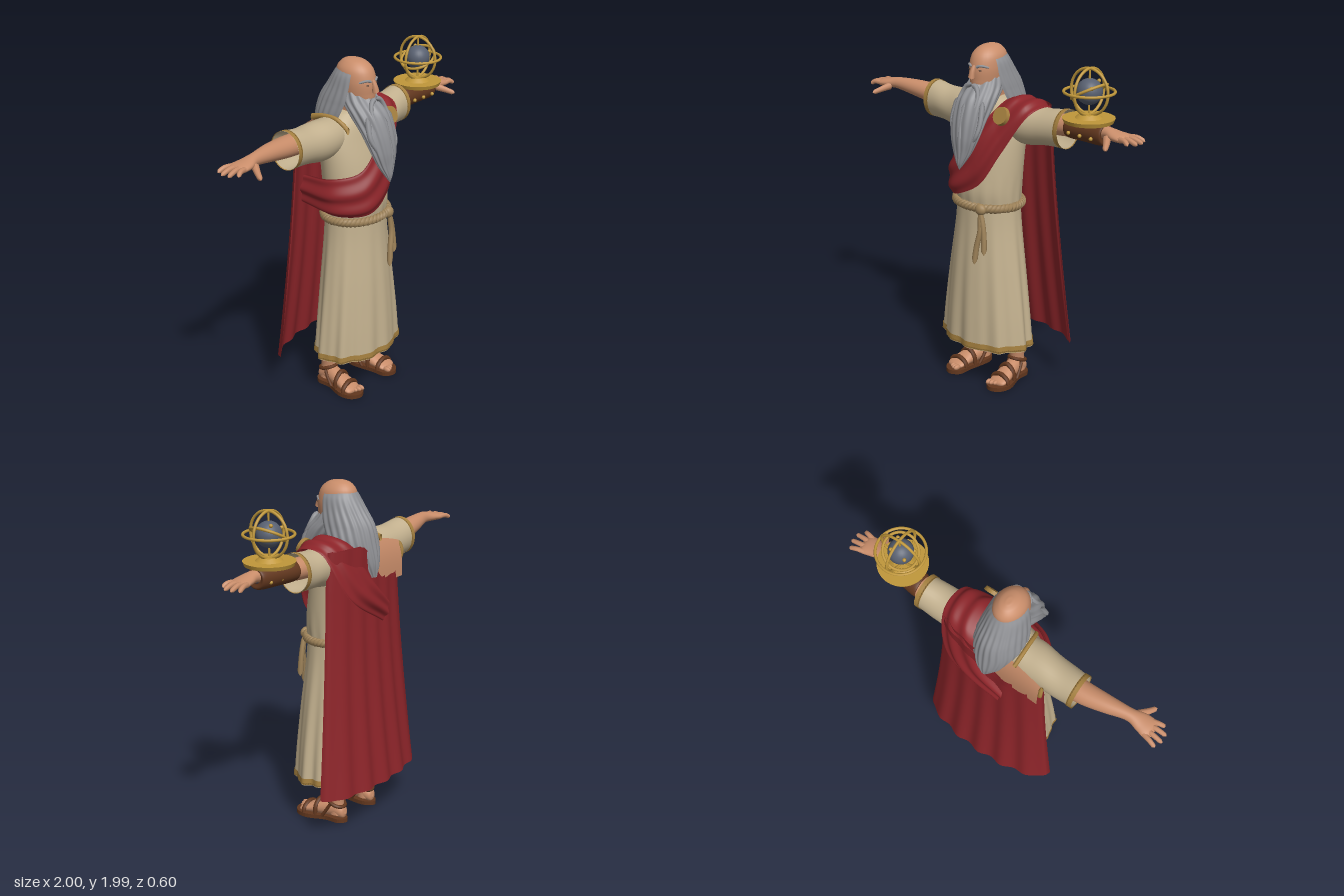
import * as THREE from 'three';
import { ParametricGeometry } from 'three/addons/geometries/ParametricGeometry.js';

const V = (x, y, z) => new THREE.Vector3(x, y, z);
const TAU = Math.PI * 2;
const mat = (name, color, side = THREE.FrontSide) => {
  const m = new THREE.MeshStandardMaterial({ color, side });
  m.name = name;
  return m;
};

// Smooth surface through elliptical sections [position, centre1, centre2, radius1, radius2] along an axis
function loft(sections, { axis = 'y', side = 1, seg = 32, rows = 32, from = 0, to = TAU, fold = () => 1 } = {}) {
  const centre = new THREE.CatmullRomCurve3(sections.map(s => V(s[0], s[1], s[2])), false, 'catmullrom', 0.5);
  const radius = new THREE.CatmullRomCurve3(sections.map(s => V(s[0], s[3], s[4])), false, 'catmullrom', 0.5);
  const c = V(), r = V();
  return new ParametricGeometry((u, v, p) => {
    centre.getPoint(v, c);
    radius.getPoint(v, r);
    const a = from + (to - from) * (side < 0 && axis === 'x' ? 1 - u : u);
    const f = fold(a, c.x);
    const r1 = Math.max(r.y, 0.001) * f, r2 = Math.max(r.z, 0.001) * f;
    if (axis === 'x') p.set(side * c.x, c.y + r1 * Math.cos(a), c.z + r2 * Math.sin(a));
    else if (axis === 'z') p.set(c.y + r1 * Math.cos(a), c.z + r2 * Math.sin(a), c.x);
    else p.set(c.y + r1 * Math.sin(a), c.x, c.z + r2 * Math.cos(a));
  }, seg, rows);
}

// Tapered tube with rounded ends
function limb(points, r0, r1, rows = 16, seg = 8) {
  const curve = new THREE.CatmullRomCurve3(points.map(p => V(...p)));
  const g = new THREE.TubeGeometry(curve, rows, 1, seg);
  const pos = g.attributes.position, p = V();
  for (let i = 0; i < pos.count; i++) {
    const t = Math.floor(i / (seg + 1)) / rows, c = curve.getPointAt(t);
    const end = Math.min(1, Math.sqrt(Math.min(t, 1 - t) * 8 + 0.001));
    p.fromBufferAttribute(pos, i).sub(c).multiplyScalar((r0 + (r1 - r0) * t) * end).add(c);
    pos.setXYZ(i, p.x, p.y, p.z);
  }
  return g;
}

export function createModel() {
  const root = new THREE.Group();
  root.name = 'robedElder';
  const D = THREE.DoubleSide;
  const skin = mat('skin', 0xc98d6a, D), hair = mat('greyHair', 0x8f9094, D), linen = mat('linen', 0xc2b08e, D);
  const red = mat('redCloth', 0x8c2429, D), trim = mat('ochreTrim', 0xa5803f, D), rope = mat('rope', 0xa0845a);
  const gold = mat('gold', 0xc0973a), leather = mat('leather', 0x62371e), slate = mat('slate', 0x586070), dark = mat('eyeDark', 0x4a3c34);
  const add = (name, geo, m, parent = root) => {
    const mesh = new THREE.Mesh(geo, m);
    mesh.name = name;
    parent.add(mesh);
    return mesh;
  };

  // Head and face
  add('head', loft([[1.6, 0, -0.01, 0.07, 0.07], [1.7, 0, 0.02, 0.066, 0.075], [1.75, 0, 0.055, 0.074, 0.105],
    [1.81, 0, 0.058, 0.086, 0.113], [1.87, 0, 0.053, 0.091, 0.118], [1.93, 0, 0.045, 0.083, 0.107],
    [1.968, 0, 0.04, 0.054, 0.073], [1.983, 0, 0.035, 0.02, 0.03], [1.985, 0, 0.035, 0.001, 0.001]]), skin);
  add('nose', limb([[0, 1.885, 0.162], [0, 1.85, 0.178], [0, 1.808, 0.188]], 0.011, 0.021), skin);
  for (const s of [-1, 1]) {
    add('eye', new THREE.SphereGeometry(0.01, 12, 8).scale(1.2, 0.4, 0.5).translate(s * 0.036, 1.856, 0.16), dark);
    add('eyebrow', limb([[s * 0.014, 1.872, 0.169], [s * 0.04, 1.882, 0.16], [s * 0.075, 1.872, 0.125]], 0.008, 0.006), hair);
    add('moustache', limb([[0, 1.78, 0.186], [s * 0.035, 1.768, 0.187], [s * 0.06, 1.725, 0.2], [s * 0.066, 1.66, 0.235]], 0.016, 0.009), hair);
  }

  // Beard with hanging locks
  add('beard', loft([[1.32, 0, 0.287, 0.002, 0.002], [1.36, 0, 0.277, 0.028, 0.02], [1.42, 0, 0.26, 0.062, 0.036],
    [1.5, 0, 0.24, 0.091, 0.055], [1.6, 0, 0.2, 0.108, 0.078], [1.7, 0, 0.135, 0.113, 0.105],
    [1.765, 0, 0.078, 0.101, 0.102], [1.815, 0, 0.06, 0.088, 0.07]],
  { seg: 96, rows: 40, fold: (a, y) => 1 + 0.04 * Math.sin(13 * a + 10 * y) }), hair);
  for (let i = -3; i <= 3; i++) {
    const x = i * 0.03, d = Math.abs(i) * 0.012;
    add('beardLock', limb([[x, 1.7, 0.23 - d], [x * 1.15, 1.58, 0.268 - d], [x * 0.95 + 0.008, 1.48 + d, 0.29 - d],
      [x * 0.65, 1.35 + d * 3.2, 0.29 - d]], 0.019, 0.008), hair);
  }

  // Long hair around the sides and back
  add('hair', loft([[1.47, 0, -0.15, 0.035, 0.06], [1.55, 0, -0.085, 0.1, 0.13], [1.65, 0, -0.04, 0.137, 0.16], [1.75, 0, 0.0, 0.128, 0.175],
    [1.83, 0, 0.025, 0.113, 0.15], [1.89, 0, 0.038, 0.1, 0.125], [1.925, 0, 0.042, 0.082, 0.108]],
  { from: 1.2, to: TAU - 1.2, seg: 100, fold: (a, y) => 1 + 0.02 * Math.sin(24 * a + 8 * y) * Math.min(1, (1.93 - y) * 9) }), hair);

  // Tunic body and pleated skirt
  add('tunicBody', loft([[1.09, 0, 0.05, 0.195, 0.16], [1.2, 0, 0.05, 0.203, 0.167], [1.4, 0, 0.03, 0.215, 0.152], [1.55, 0, 0, 0.22, 0.138],
    [1.63, 0, -0.01, 0.19, 0.12], [1.68, 0, -0.01, 0.12, 0.09], [1.7, 0, 0, 0.065, 0.065]],
  { seg: 64, fold: (a, y) => 1 + 0.015 * Math.sin(15 * a) * Math.max(0, 1 - (y - 1.09) * 5) }), linen);
  const pleats = (a, y) => 1 + 0.032 * (Math.sin(10 * a) + 0.5 * Math.sin(17 * a + 1)) * (1.13 - y) / 0.84;
  add('skirt', loft([[0.245, 0, 0.06, 0.295, 0.2], [0.45, 0, 0.06, 0.274, 0.192], [0.7, 0, 0.057, 0.242, 0.18],
    [0.95, 0, 0.052, 0.208, 0.164], [1.1, 0, 0.05, 0.194, 0.158]], { seg: 120, fold: pleats }), linen);
  add('hemTrim', loft([[0.25, 0, 0.06, 0.299, 0.204], [0.287, 0, 0.06, 0.296, 0.202]], { seg: 120, rows: 2, fold: pleats }), trim);

  // Rope belt with two strands, a knot and hanging ends
  for (const k of [0, Math.PI]) {
    const pts = [];
    for (let i = 0; i < 144; i++) {
      const a = i / 144 * TAU, o = 0.009 * Math.cos(24 * a + k);
      pts.push(V((0.2 + o) * Math.sin(a), 1.093 + 0.01 * Math.sin(24 * a + k), 0.05 + (0.168 + o) * Math.cos(a)));
    }
    add('ropeBelt', new THREE.TubeGeometry(new THREE.CatmullRomCurve3(pts, true), 288, 0.017, 6, true), rope);
  }
  add('ropeKnot', new THREE.SphereGeometry(0.033, 16, 12).scale(1.1, 1, 0.8).translate(0.09, 1.09, 0.215), rope);
  add('ropeEnd', limb([[0.09, 1.08, 0.22], [0.1, 0.98, 0.228], [0.08, 0.87, 0.238], [0.068, 0.765, 0.245]], 0.014, 0.017), rope);
  add('ropeEnd', limb([[0.095, 1.08, 0.22], [0.115, 1.0, 0.222], [0.125, 0.92, 0.225], [0.128, 0.83, 0.23]], 0.014, 0.017), rope);

  for (const s of [-1, 1]) {
    // Sleeve, arm and hand
    const along = { axis: 'x', side: s };
    add('sleeve', loft([[0.1, 1.575, -0.015, 0.1, 0.1], [0.22, 1.562, -0.02, 0.113, 0.112], [0.36, 1.568, -0.028, 0.104, 0.1],
      [0.5, 1.58, -0.033, 0.106, 0.094]], { ...along, fold: (a, x) => 1 + 0.015 * Math.sin(30 * x + 2 * a) }), linen);
    add('sleeveTrim', loft([[0.473, 1.579, -0.033, 0.109, 0.098], [0.504, 1.58, -0.033, 0.11, 0.098]], { ...along, rows: 2 }), trim);
    add('arm', loft([[0.3, 1.59, -0.035, 0.058, 0.06], [0.42, 1.595, -0.035, 0.06, 0.065], [0.53, 1.602, -0.033, 0.057, 0.063],
      [0.66, 1.615, -0.02, 0.047, 0.05], [0.78, 1.624, -0.003, 0.034, 0.036], [0.85, 1.618, 0, 0.028, 0.052],
      [0.91, 1.612, -0.006, 0.021, 0.058], [0.935, 1.61, -0.006, 0.002, 0.03]], along), skin);
    [[-0.07, 0.982], [-0.028, 1.0], [0.016, 0.998], [0.055, 0.965]].forEach(([z, x], i) =>
      add('finger', limb([[s * 0.88, 1.612, -0.042 + i * 0.025], [s * 0.94, 1.615, z * 0.85], [s * x, 1.598, z]], 0.017, 0.012), skin));
    add('thumb', limb([[s * 0.81, 1.61, 0.025], [s * 0.845, 1.59, 0.075], [s * 0.875, 1.57, 0.125]], 0.023, 0.013), skin);

    // Leg, foot and sandal
    add('leg', loft([[0.04, s * 0.14, -0.045, 0.043, 0.048], [0.12, s * 0.14, -0.04, 0.04, 0.044], [0.22, s * 0.14, -0.037, 0.049, 0.053],
      [0.5, s * 0.13, -0.03, 0.065, 0.07]]), skin);
    add('foot', loft([[-0.105, s * 0.14, 0.052, 0.005, 0.005], [-0.09, s * 0.14, 0.057, 0.032, 0.036], [-0.03, s * 0.142, 0.072, 0.044, 0.052],
      [0.05, s * 0.155, 0.064, 0.05, 0.045], [0.13, s * 0.167, 0.046, 0.058, 0.027], [0.17, s * 0.17, 0.036, 0.05, 0.017],
      [0.185, s * 0.17, 0.034, 0.005, 0.004]], { axis: 'z' }), skin);
    for (let i = 0; i < 5; i++)
      add('toe', new THREE.SphereGeometry(0.017 - i * 0.0015, 10, 8).scale(0.8, 0.9, 1.5).translate(s * (0.13 + i * 0.021), 0.038, 0.19 - i * i * 0.003), skin);
    const outline = [[0.14, -0.115], [0.185, -0.085], [0.192, 0], [0.235, 0.12], [0.22, 0.19], [0.165, 0.222], [0.11, 0.19], [0.105, 0.1], [0.098, -0.07]];
    const curve = new THREE.CatmullRomCurve3(outline.map(p => V(s * p[0], p[1], 0)), true);
    const shape = new THREE.Shape(curve.getPoints(48).slice(0, -1).map(p => new THREE.Vector2(p.x, p.y)));
    add('sandalSole', new THREE.ExtrudeGeometry(shape, { depth: 0.024, bevelEnabled: false }).rotateX(Math.PI / 2).translate(0, 0.024, 0), leather);
    for (const [x, z, r, h] of [[0.168, 0.135, 0.064, 0.078], [0.157, 0.065, 0.056, 0.112]])
      add('sandalStrap', limb([[s * x - r, 0.015, z], [s * x - r * 0.8, h * 0.7, z], [s * x, h, z], [s * x + r * 0.8, h * 0.7, z], [s * x + r, 0.015, z]], 0.014, 0.014, 24), leather);
    add('ankleStrap', new THREE.TorusGeometry(0.045, 0.011, 8, 28).rotateX(Math.PI / 2 - 0.4).scale(1, 1, 1.15).translate(s * 0.14, 0.11, -0.042), leather);
    for (const e of [-1, 1])
      add('sideStrap', limb([[s * 0.14 + e * 0.046, 0.11, -0.03], [s * 0.145 + e * 0.05, 0.06, 0], [s * 0.15 + e * 0.05, 0.015, 0.03]], 0.01, 0.01), leather);
  }

  // Bare upper back on the right side, edged with trim
  add('bareBack', new ParametricGeometry((u, v, p) =>
    p.set(0.05 - 0.37 * u, 1.4 + (0.265 - 0.06 * u * u) * v, -0.158 - 0.01 * u + (0.06 - 0.03 * u) * v ** 3), 16, 16), skin);
  add('neckTrim', loft([[-0.135, -0.152, 1.652, 0.012, 0.02], [-0.06, -0.152, 1.672, 0.012, 0.014], [0.02, -0.148, 1.67, 0.012, 0.014],
    [0.07, -0.142, 1.645, 0.012, 0.014], [0.1, -0.132, 1.61, 0.012, 0.02]], { axis: 'z', seg: 12 }), trim);
  add('backTrim', limb([[-0.325, 1.6, -0.135], [-0.33, 1.54, -0.155], [-0.32, 1.47, -0.14]], 0.013, 0.013), trim);

  // Back cape: a thick sheet with folds, slanting up to the left shoulder
  add('cape', new ParametricGeometry((u, v, p) => {
    const q = 1 - Math.abs(2 * u - 1), k = 1 - 2 * q;
    const top = 1.44 + 0.22 * THREE.MathUtils.smoothstep(k, -0.35, 0.35) + 0.045 * THREE.MathUtils.smoothstep(-k, 0.7, 1);
    const y = 0.262 + (top - 0.262) * v, t = Math.max(0, 1.45 - y) / 1.19;
    const w = 0.33 + 0.112 * t ** 1.25 - 0.1 * Math.max(0, y - 1.45);
    const edge = 0.11 + 0.04 * t, deep = 0.196 + 0.095 * t ** 1.7;
    const z = edge + (deep - edge) * Math.sqrt(Math.max(0.0001, 1 - k * k)) + (0.003 + 0.007 * t) * Math.cos(k * 17) * (1 - k ** 6);
    p.set(k * w, y, -z + (u > 0.5 ? 0.022 * Math.min(1, (1 - Math.abs(k)) * 15) : 0));
  }, 160, 30), red);

  // Sash wrapped from the right side, over the left shoulder and down the back
  const upper = new THREE.CatmullRomCurve3([V(-0.22, 1.33, -0.14), V(-0.23, 1.35, 0.06), V(-0.13, 1.385, 0.18), V(-0.01, 1.49, 0.19), V(0.08, 1.62, 0.13),
    V(0.12, 1.7, 0.02), V(0.1, 1.66, -0.13), V(0, 1.47, -0.19), V(-0.12, 1.33, -0.198)]);
  const lower = new THREE.CatmullRomCurve3([V(-0.215, 1.15, -0.14), V(-0.222, 1.125, 0.1), V(-0.1, 1.135, 0.232), V(0.08, 1.225, 0.225), V(0.205, 1.43, 0.17),
    V(0.33, 1.65, 0.08), V(0.34, 1.66, -0.08), V(0.24, 1.4, -0.205), V(-0.07, 1.2, -0.205)]);
  const hub = V(0.03, 1.36, 0), b = V();
  add('sash', new ParametricGeometry((u, v, p) => {
    upper.getPoint(v, p);
    p.lerp(lower.getPoint(v, b), u);
    b.copy(p).sub(hub).normalize();
    const puff = 0.038 * Math.sqrt(Math.sin(Math.PI * Math.min(0.999, Math.max(0.001, u)))) + 0.006 * Math.cos(u * 16 + 3 * v) - 0.012;
    p.addScaledVector(b, puff);
  }, 40, 90), red);
  add('claspDisc', new THREE.CylinderGeometry(0.048, 0.052, 0.022, 28).rotateX(1.15).translate(0.185, 1.63, 0.152), trim);

  // Leather bracer with studs
  add('bracer', loft([[0.53, 1.602, -0.03, 0.04, 0.045], [0.53, 1.605, -0.03, 0.062, 0.07], [0.65, 1.606, -0.018, 0.062, 0.066],
    [0.77, 1.608, -0.004, 0.058, 0.058], [0.775, 1.615, -0.003, 0.03, 0.034]], { axis: 'x' }), leather);
  for (let i = 0; i < 3; i++) for (const z of [-0.078, 0.048])
    add('bracerStud', new THREE.SphereGeometry(0.011, 8, 6).translate(0.57 + i * 0.08, 1.59, z + i * 0.006), gold);

  // Armillary sphere on its plate
  const arm = new THREE.Group();
  arm.name = 'armillarySphere';
  arm.position.set(0.664, 1.82, -0.003);
  root.add(arm);
  add('plate', new THREE.CylinderGeometry(0.14, 0.132, 0.022, 40).translate(0, -0.15, 0), gold, arm);
  add('plateFoot', new THREE.CylinderGeometry(0.05, 0.075, 0.022, 32).translate(0, -0.13, 0), gold, arm);
  add('globe', new THREE.SphereGeometry(0.07, 28, 20), slate, arm);
  add('axisRod', new THREE.CylinderGeometry(0.006, 0.006, 0.25, 10), gold, arm);
  for (const [r, rx, ry, rz] of [[0.122, 0, 0, 0], [0.122, 0, Math.PI / 2, 0], [0.134, Math.PI / 2, 0, 0], [0.1, Math.PI / 2, 0.5, 0.3]])
    add('ring', new THREE.TorusGeometry(r, 0.008, 8, 56), gold, arm).rotation.set(rx, ry, rz);
  for (const [x, y, z] of [[0.05, 0.03, 0.045], [-0.05, -0.02, 0.05], [0.03, 0.055, -0.04], [-0.055, 0.03, -0.04]])
    add('globeStud', new THREE.SphereGeometry(0.011, 8, 6).translate(x, y, z), gold, arm);
  return root;
}
